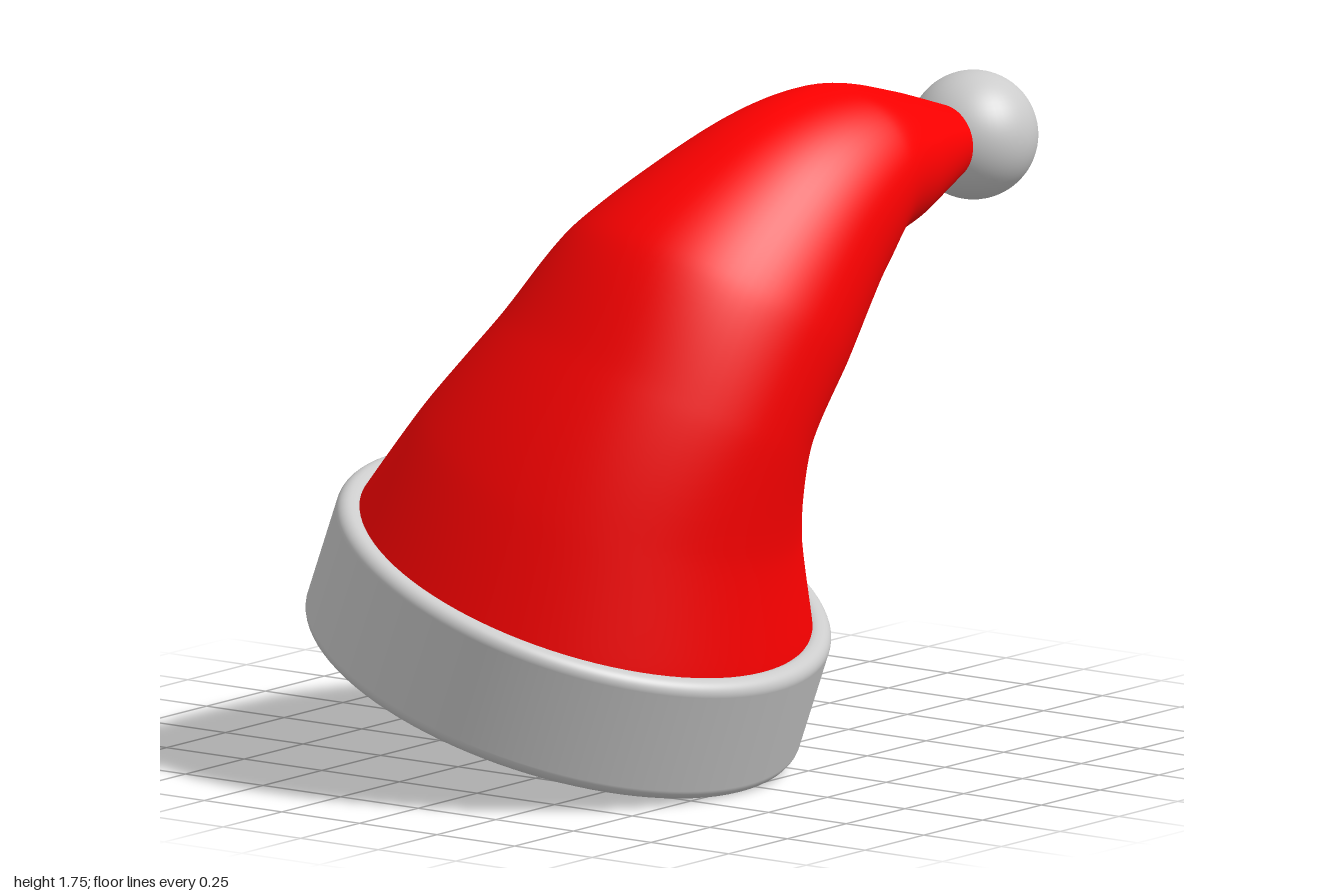
import * as THREE from 'three';

const TILT = 0.355; // lean of the brim towards the front
const RED = 0xff0000;

// Stations along the hat: centre x, y, z, width radius, depth radius, sideways bend (deg)
const STATIONS = [
  [-0.335, 0.46, 0.011, 0.625, 0.625, 0],
  [-0.335, 0.53, 0.036, 0.605, 0.607, 0],
  [-0.338, 0.78, 0.12, 0.502, 0.52, 4],
  [-0.285, 1.025, 0.22, 0.395, 0.45, 18],
  [-0.14, 1.24, 0.285, 0.385, 0.40, 30],
  [0.07, 1.43, 0.35, 0.307, 0.315, 43],
  [0.28, 1.52, 0.39, 0.226, 0.245, 80],
  [0.47, 1.52, 0.40, 0.175, 0.18, 88],
  [0.70, 1.52, 0.40, 0.10, 0.10, 90],
];

// Smooth bent cone swept through the stations
function bentCone(rows, sides) {
  const spline = (o) => new THREE.CatmullRomCurve3(
    STATIONS.map((s) => new THREE.Vector3(s[o], s[o + 1], s[o + 2])), false, 'catmullrom', 0.4);
  const centres = spline(0);
  const shapes = spline(3);
  const pos = [];
  const index = [];
  for (let i = 0; i <= rows; i++) {
    const c = centres.getPoint(i / rows);
    const s = shapes.getPoint(i / rows);
    const bend = THREE.MathUtils.degToRad(s.z);
    const lean = TILT * (1 - Math.sin(bend)); // forward lean fades as the hat bends over
    const up = new THREE.Vector3(0, Math.cos(lean), Math.sin(lean));
    const v = new THREE.Vector3(0, -Math.sin(lean), Math.cos(lean));
    const u = new THREE.Vector3(Math.cos(bend), 0, 0).addScaledVector(up, -Math.sin(bend));
    for (let j = 0; j < sides; j++) {
      const a = (j / sides) * Math.PI * 2;
      const p = c.clone().addScaledVector(u, s.x * Math.cos(a)).addScaledVector(v, s.y * Math.sin(a));
      pos.push(p.x, p.y, p.z);
      if (i < rows) {
        const k = (j + 1) % sides;
        const r0 = i * sides;
        const r1 = r0 + sides;
        index.push(r0 + j, r1 + j, r0 + k, r0 + k, r1 + j, r1 + k);
      }
    }
  }
  const g = new THREE.BufferGeometry();
  g.setAttribute('position', new THREE.Float32BufferAttribute(pos, 3));
  g.setIndex(index);
  g.computeVertexNormals();
  return g;
}

// Ring with a rounded rectangular section
function roundedRing(inner, outer, height, c) {
  const h = height / 2 - c;
  const q = Math.PI / 2;
  const path = new THREE.Path();
  path.absarc(outer - c, -h, c, -q, 0);
  path.absarc(outer - c, h, c, 0, q);
  path.absarc(inner + c, h, c, q, 2 * q);
  path.absarc(inner + c, -h, c, 2 * q, 3 * q);
  path.closePath();
  return new THREE.LatheGeometry(path.getPoints(8), 96);
}

export function createModel() {
  const group = new THREE.Group();
  const red = new THREE.MeshStandardMaterial({ color: RED });
  const grey = new THREE.MeshStandardMaterial({ color: 0xcccccc });
  const add = (name, geometry, material, x, y, z) => {
    const mesh = new THREE.Mesh(geometry, material);
    mesh.name = name;
    mesh.position.set(x, y, z);
    group.add(mesh);
    return mesh;
  };

  // Floppy body with its underside closed inside the brim
  add('hatBody', bentCone(120, 80), red, 0, 0, 0);
  const lining = add('hatLining', new THREE.CircleGeometry(0.625, 80).rotateX(Math.PI / 2), red, -0.335, 0.46, 0.011);
  lining.rotation.x = TILT;

  // Tilted brim
  const brim = add('brim', roundedRing(0.59, 0.662, 0.34, 0.034), grey, -0.335, 0.377, -0.02);
  brim.rotation.x = TILT;

  // Ball at the tip
  add('pompom', new THREE.SphereGeometry(0.167, 48, 32), grey, 0.833, 1.52, 0.4);
  return group;
}
